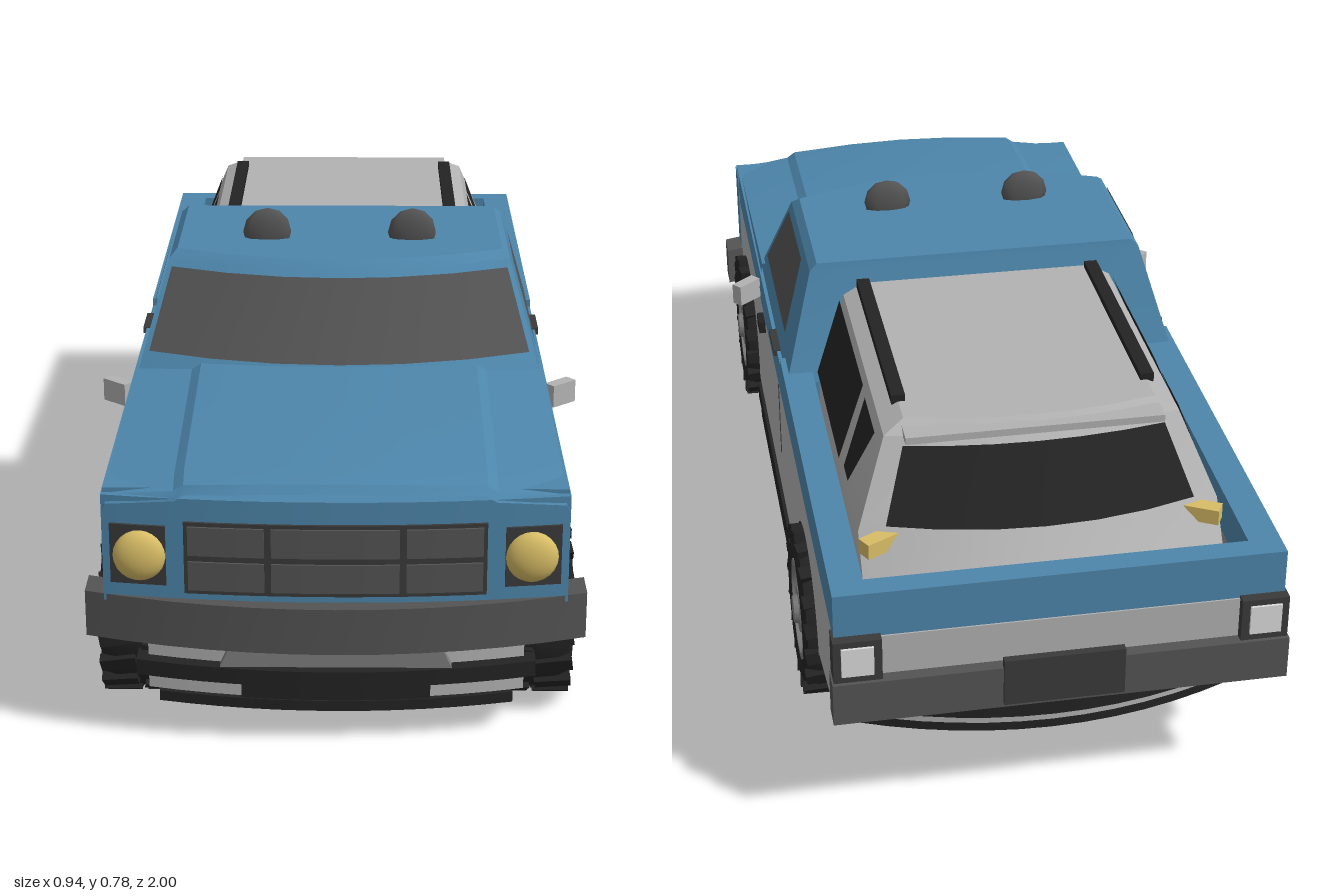
import * as THREE from 'three';
import { mergeGeometries, toCreasedNormals } from 'three/addons/utils/BufferGeometryUtils.js';

const paint = (name, color, extra = {}) => Object.assign(new THREE.MeshStandardMaterial({ color, ...extra }), { name });

export function createModel() {
  const model = new THREE.Group();
  const blue = paint('blue paint', 0x4d86ab, { side: THREE.DoubleSide });
  const grey = paint('light grey paint', 0xb2b2b2);
  const dark = paint('dark grey', 0x545454, { side: THREE.DoubleSide });
  const black = paint('black', 0x232323, { side: THREE.DoubleSide });
  const trim = paint('charcoal trim', 0x3a3a3a);
  const steel = paint('wheel grey', 0x7e7e7e);
  const yellow = paint('yellow lamp', 0xd8bd66);
  const white = paint('white lamp', 0xdcdcdc);

  const add = (name, geo, mat, parent = model) => {
    const m = new THREE.Mesh(geo, mat);
    m.name = name;
    parent.add(m);
    return m;
  };
  // box from min/max ranges, optionally bowed back along z by k * x^2
  const box = (name, mat, [x0, x1], [y0, y1], [z0, z1], k = 0) => {
    let g = new THREE.BoxGeometry(x1 - x0, y1 - y0, z1 - z0, k ? 12 : 1, 1, 1);
    g.translate((x0 + x1) / 2, (y0 + y1) / 2, (z0 + z1) / 2);
    if (k) {
      const p = g.attributes.position;
      for (let i = 0; i < p.count; i++) p.setZ(i, p.getZ(i) - k * p.getX(i) ** 2);
      g = toCreasedNormals(g, 0.5);
    }
    return add(name, g, mat);
  };
  const pair = (name, mat, [x0, x1], y, z, k) => {
    box(name + 'Left', mat, [x0, x1], y, z, k);
    box(name + 'Right', mat, [-x1, -x0], y, z, k);
  };
  // surface through rows of points; closed joins row ends, cap fills the last row
  const skin = (rows, closed = false, cap = false) => {
    const n = rows[0].length, idx = [], pos = rows.flat(2);
    for (let r = 0; r < rows.length - 1; r++) {
      for (let i = 0; i < (closed ? n : n - 1); i++) {
        const j = (i + 1) % n, a = r * n + i, b = r * n + j;
        idx.push(a, b, b + n, a, b + n, a + n);
      }
    }
    if (cap) {
      const last = rows[rows.length - 1], c = pos.length / 3, o = c - n;
      pos.push(...[0, 1, 2].map(k => last.reduce((s, p) => s + p[k], 0) / n));
      for (let i = 0; i < n; i++) idx.push(c, o + i, o + (i + 1) % n);
    }
    const g = new THREE.BufferGeometry();
    g.setAttribute('position', new THREE.Float32BufferAttribute(pos, 3));
    g.setIndex(idx);
    return toCreasedNormals(g, 0.4);
  };
  // side profile in (z, y), extruded across the full width
  const across = (shape, w) => new THREE.ExtrudeGeometry(shape, { depth: 2 * w, bevelEnabled: false, curveSegments: 14 })
    .rotateY(-Math.PI / 2).translate(w, 0, 0);
  const us = [-1, -0.67, -0.33, 0, 0.33, 0.67, 1];
  const ring = ({ y, w, zf, zr, bf = 0, br = 0 }) => [
    ...us.map(u => [u * w, y, zf - bf * u * u]),
    ...us.map(u => [-u * w, y, zr + br * u * u])];
  const blend = (a, b, y) => {
    const t = (y - a.y) / (b.y - a.y), o = {};
    for (const k in a) o[k] = a[k] + (b[k] - a[k]) * t;
    return o;
  };
  // window plate on both sides; zb, zt are front and rear z at bottom and top
  const sideWindow = (name, mat, wAt, y0, y1, zb, zt) => {
    for (const s of [1, -1]) {
      const row = (y, z) => {
        const r = z.map(v => [s * (wAt(y) + 0.005), y, v]);
        return s > 0 ? r : r.reverse();
      };
      add(name + (s > 0 ? 'Left' : 'Right'), skin([row(y0, zb), row(y1, zt)]), mat);
    }
  };

  // lower body with wheel arches
  const body = new THREE.Shape();
  body.moveTo(-0.955, 0.25).lineTo(-0.69, 0.19).lineTo(-0.69, 0.17);
  body.absellipse(-0.51, 0.17, 0.18, 0.165, Math.PI, 0, true);
  body.lineTo(-0.33, 0.14).lineTo(0.48, 0.14).lineTo(0.48, 0.17);
  body.absellipse(0.68, 0.17, 0.2, 0.165, Math.PI, 0, true);
  body.lineTo(0.88, 0.21).lineTo(0.92, 0.22).lineTo(0.92, 0.415).lineTo(-0.955, 0.415);
  add('lowerBody', across(body, 0.408), [grey, black]);

  // underbody
  const core = new THREE.Shape([[0.84, 0.07], [0.84, 0.3], [-0.88, 0.3], [-0.88, 0.19], [-0.65, 0.11], [-0.35, 0.07]]
    .map(p => new THREE.Vector2(...p)));
  add('underbody', across(core, 0.285), black);
  box('floorPlate', dark, [-0.39, 0.39], [0.06, 0.075], [-0.36, 0.42]);
  pair('sillUpper', black, [0.36, 0.415], [0.1, 0.14], [-0.36, 0.46]);
  pair('sillStrip', grey, [0.36, 0.405], [0.08, 0.1], [-0.36, 0.44]);
  pair('sillLower', black, [0.36, 0.412], [0.06, 0.08], [-0.36, 0.44]);

  // belt, bed rails, tailgate
  box('cabBelt', blue, [-0.408, 0.408], [0.415, 0.49], [-0.17, 0.92]);
  pair('bedRail', blue, [0.348, 0.408], [0.415, 0.505], [-0.96, -0.1]);
  box('tailgate', blue, [-0.408, 0.408], [0.415, 0.505], [-0.965, -0.92]);
  box('bedFloor', dark, [-0.35, 0.35], [0.41, 0.425], [-0.93, -0.12]);

  // hood with raised centre panel
  const hoodRows = [[0.968, 0.478], [0.955, 0.492], [0.9, 0.501], [0.6, 0.512], [0.33, 0.522]].map(([z, h], i) => {
    const half = [[0.41, 0.45], [0.402, h - 0.012], [0.28 + i * 0.002, h], [0.262 + i * 0.002, h + 0.012], [0.12, h + 0.018]];
    return [...half.map(([x, y]) => [-x, y]), [0, h + 0.02], ...half.reverse()]
      .map(([x, y]) => [x, y, z - (i < 3 ? 0.2 * x * x : 0)]);
  });
  add('hood', skin(hoodRows), blue);

  // cab
  const cab = [
    { y: 0.485, w: 0.402, zf: 0.465, zr: -0.175, bf: 0.09 },
    { y: 0.7, w: 0.34, zf: 0.315, zr: -0.103, bf: 0.08 },
    { y: 0.715, w: 0.325, zf: 0.295, zr: -0.1, bf: 0.08 }];
  add('cab', skin(cab.map(ring), true, true), blue);
  const cabAt = y => blend(cab[0], cab[1], y);
  add('windshield', skin([0.54, 0.685].map(y => {
    const c = cabAt(y);
    return us.map(u => [u * c.w * 0.97, y + 0.003, c.zf - c.bf * (u * 0.97) ** 2 + 0.005]);
  })), dark);
  sideWindow('doorWindow', dark, y => cabAt(y).w, 0.54, 0.688, [0.31, -0.055], [0.215, -0.02]);
  for (const s of [1, -1]) {
    const lamp = add('roofLamp', new THREE.SphereGeometry(0.05, 9, 6), dark);
    lamp.scale.set(1, 1, 0.36);
    lamp.position.set(s * 0.147, 0.727, 0.14);
    const mirror = add('doorMirror', new THREE.BoxGeometry(0.06, 0.045, 0.025), grey);
    mirror.position.set(s * 0.44, 0.45, 0.325);
    mirror.rotation.y = s * 0.7;
  }
  pair('doorHandle', trim, [0.4, 0.415], [0.479, 0.492], [-0.04, 0.055]);
  pair('mirrorMount', black, [0.4, 0.422], [0.385, 0.41], [0.24, 0.29]);
  pair('doorSeam', trim, [0.405, 0.4095], [0.25, 0.415], [-0.05, -0.046]);

  // wagon cabin standing in the bed
  const wagon = [
    { y: 0.42, w: 0.335, zf: -0.1, zr: -0.9, br: 0.08 },
    { y: 0.5, w: 0.335, zf: -0.1, zr: -0.83, br: 0.07 },
    { y: 0.65, w: 0.275, zf: -0.1, zr: -0.715, br: 0.03 },
    { y: 0.67, w: 0.235, zf: -0.1, zr: -0.69, br: 0.03 }];
  add('rearCabin', skin(wagon.map(ring), true, true), grey);
  const wagonAt = y => blend(wagon[1], wagon[2], y);
  add('rearWindow', skin([0.515, 0.638].map(y => {
    const c = wagonAt(y);
    return us.map(u => [-u * c.w * 0.87, y, c.zr + c.br * (u * 0.87) ** 2 - 0.007]);
  })), black);
  const wagonW = y => wagonAt(y).w;
  sideWindow('rearSideWindow', black, wagonW, 0.505, 0.64, [-0.15, -0.51], [-0.12, -0.475]);
  sideWindow('quarterWindow', black, wagonW, 0.515, 0.635, [-0.555, -0.61], [-0.515, -0.645]);
  pair('roofRail', black, [0.222, 0.248], [0.665, 0.683], [-0.6, -0.12]);
  box('roofSpoiler', grey, [-0.24, 0.24], [0.648, 0.662], [-0.72, -0.64]);
  for (const s of [1, -1]) {
    const lamp = add('cabinTailLamp', new THREE.BoxGeometry(0.07, 0.03, 0.03), yellow);
    lamp.position.set(s * 0.3, 0.488, -0.785);
    lamp.rotation.y = s * 0.5;
  }

  // front face: fascia, grille, headlights, bumper
  box('frontFascia', blue, [-0.41, 0.41], [0.28, 0.482], [0.9, 0.965], 0.2);
  box('grilleFrame', trim, [-0.265, 0.265], [0.305, 0.44], [0.96, 0.97], 0.2);
  for (const [x0, x1] of [[-0.258, -0.124], [-0.112, 0.112], [0.124, 0.258]]) {
    for (const y of [[0.313, 0.367], [0.379, 0.433]]) box('grillePanel', dark, [x0, x1], y, [0.965, 0.974], 0.2);
  }
  pair('headlightFrame', trim, [0.297, 0.396], [0.318, 0.43], [0.96, 0.97], 0.2);
  for (const s of [1, -1]) {
    const lamp = add('headlight', new THREE.SphereGeometry(0.047, 20, 12), yellow);
    lamp.scale.z = 0.5;
    lamp.position.set(s * 0.343, 0.374, 0.948);
  }
  box('frontBumper', dark, [-0.445, 0.445], [0.205, 0.292], [0.93, 0.995], 0.38);
  box('frontValance', grey, [-0.34, 0.34], [0.08, 0.21], [0.84, 0.92], 0.38);
  const skid = new THREE.Shape([[-0.17, 0.14], [0.21 - 0.0, 0.14], [0.18, 0.205], [-0.18, 0.205], [-0.21, 0.14]]
    .map(p => new THREE.Vector2(...p)));
  add('skidPlate', new THREE.ExtrudeGeometry(skid, { depth: 0.03, bevelEnabled: false }).translate(0, 0, 0.895), steel);
  box('skidBar', black, [-0.36, 0.36], [0.115, 0.145], [0.86, 0.945], 0.38);
  box('lowerIntake', black, [-0.17, 0.17], [0.06, 0.116], [0.84, 0.927], 0.38);
  box('frontLip', black, [-0.32, 0.32], [0.06, 0.08], [0.8, 0.93], 0.38);

  // rear face: panel, lights, bumper, lower valance
  box('rearPanel', grey, [-0.408, 0.408], [0.25, 0.415], [-0.968, -0.95]);
  box('rearBumper', dark, [-0.415, 0.415], [0.25, 0.335], [-0.992, -0.945]);
  box('rearPlate', trim, [-0.11, 0.11], [0.26, 0.355], [-1, -0.985]);
  pair('tailLampFrame', trim, [0.325, 0.412], [0.335, 0.42], [-0.985, -0.94]);
  pair('tailLamp', white, [0.34, 0.398], [0.35, 0.408], [-0.99, -0.984]);
  [[black, 0.165, 0.195, -0.92], [grey, 0.142, 0.165, -0.905], [black, 0.12, 0.142, -0.9]].forEach(([mat, y0, y1, z]) =>
    box('rearValance', mat, [-0.36, 0.36], [y0, y1], [z, z + 0.18], -0.6));

  // wheels with chunky tread
  const v2 = list => list.map(p => new THREE.Vector2(...p));
  const tyreGeo = toCreasedNormals(new THREE.LatheGeometry(v2([[0.09, -0.07], [0.13, -0.075], [0.15, -0.065],
    [0.158, -0.045], [0.158, 0.045], [0.15, 0.065], [0.13, 0.073], [0.1, 0.068], [0.098, 0.05]]), 28), 0.5);
  const rimGeo = toCreasedNormals(new THREE.LatheGeometry(v2([[0.1, 0.05], [0.1, 0.07], [0.088, 0.07], [0.082, 0.052],
    [0.05, 0.06], [0.046, 0.068], [0.03, 0.068], [0.026, 0.078], [0, 0.08]]), 28), 0.4);
  const lugs = [];
  for (let i = 0; i < 36; i++) {
    const side = i % 2 ? 1 : -1;
    lugs.push(new THREE.BoxGeometry(0.02, 0.066, 0.026).rotateX(side * 0.15)
      .translate(0, side * 0.038, 0).translate(0.157, 0, 0).rotateY(i * Math.PI / 18));
  }
  const lugGeo = mergeGeometries(lugs);
  for (const s of [1, -1]) {
    for (const z of [0.695, -0.51]) {
      const wheel = new THREE.Group();
      wheel.name = (z > 0 ? 'front' : 'rear') + 'Wheel' + (s > 0 ? 'Left' : 'Right');
      add('tyre', tyreGeo, black, wheel);
      add('tread', lugGeo, black, wheel);
      add('rim', rimGeo, steel, wheel);
      wheel.position.set(s * 0.36, 0.168, z);
      wheel.rotation.z = -s * Math.PI / 2;
      model.add(wheel);
    }
  }
  // centre rollers under the floor
  for (const z of [0.33, -0.3]) {
    add('centreRoller', new THREE.CylinderGeometry(0.165, 0.165, 0.09, 18).rotateZ(Math.PI / 2).translate(0, 0.165, z), black);
  }
  return model;
}
